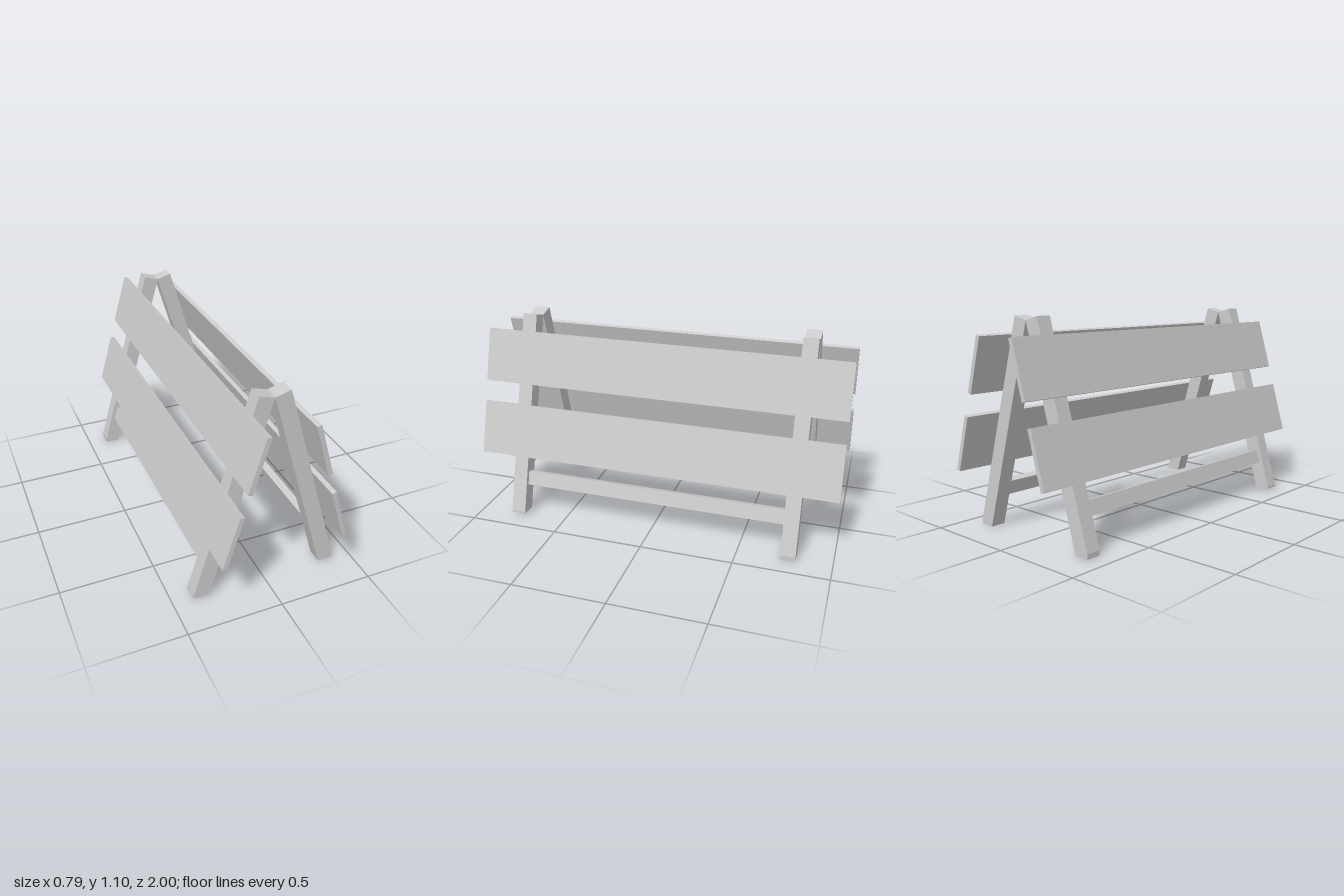
import * as THREE from 'three';

const SLOPE = 0.293; // sideways run of a leg per unit of height
const TILT = Math.atan(SLOPE);
const outerX = (y) => 0.08 + (1.103 - y) * SLOPE; // outer face of a leg
const innerX = (y) => (1.08 - y) * SLOPE; // inner face of a leg

export function createModel() {
  const group = new THREE.Group();
  const material = new THREE.MeshStandardMaterial({ color: 0xcccccc, flatShading: true });

  function add(geometry, name) {
    const mesh = new THREE.Mesh(geometry, material);
    mesh.name = name;
    group.add(mesh);
    return mesh;
  }

  // Leaning leg with a level foot, as a side outline extruded along z
  function addLeg(side, z, footY, name) {
    const outline = [
      [0, 1.08], [0.08, 1.103], [0.396, 0.025], [0.396, footY], [innerX(footY), footY],
    ];
    const shape = new THREE.Shape(outline.map(([x, y]) => new THREE.Vector2(x * side, y)));
    const geometry = new THREE.ExtrudeGeometry(shape, { depth: 0.08, bevelEnabled: false });
    add(geometry.translate(0, 0, z - 0.04), name);
  }

  // Long board tilted to match the legs
  function addBoard(side, x, y, thickness, width, length, name) {
    const board = add(new THREE.BoxGeometry(thickness, width, length), name);
    board.position.set(side * x, y, 0);
    board.rotation.z = side * TILT;
  }

  for (const [side, label] of [[1, 'left'], [-1, 'right']]) {
    addLeg(side, 0.77, 0.015, label + 'FrontLeg');
    addLeg(side, -0.77, 0, label + 'BackLeg');

    // Two planks lying on the outer face of the legs
    const half = 0.012;
    for (const [y, name] of [[0.87, 'UpperPlank'], [0.476, 'LowerPlank']]) {
      addBoard(side, outerX(y) + half * Math.cos(TILT), y + half * Math.sin(TILT),
        half * 2, 0.293, 2, label + name);
    }

    // Stretcher rail between the front and back leg
    const railY = 0.203;
    addBoard(side, (outerX(railY) + innerX(railY)) / 2, railY, 0.04, 0.078, 1.46, label + 'Rail');
  }
  return group;
}
